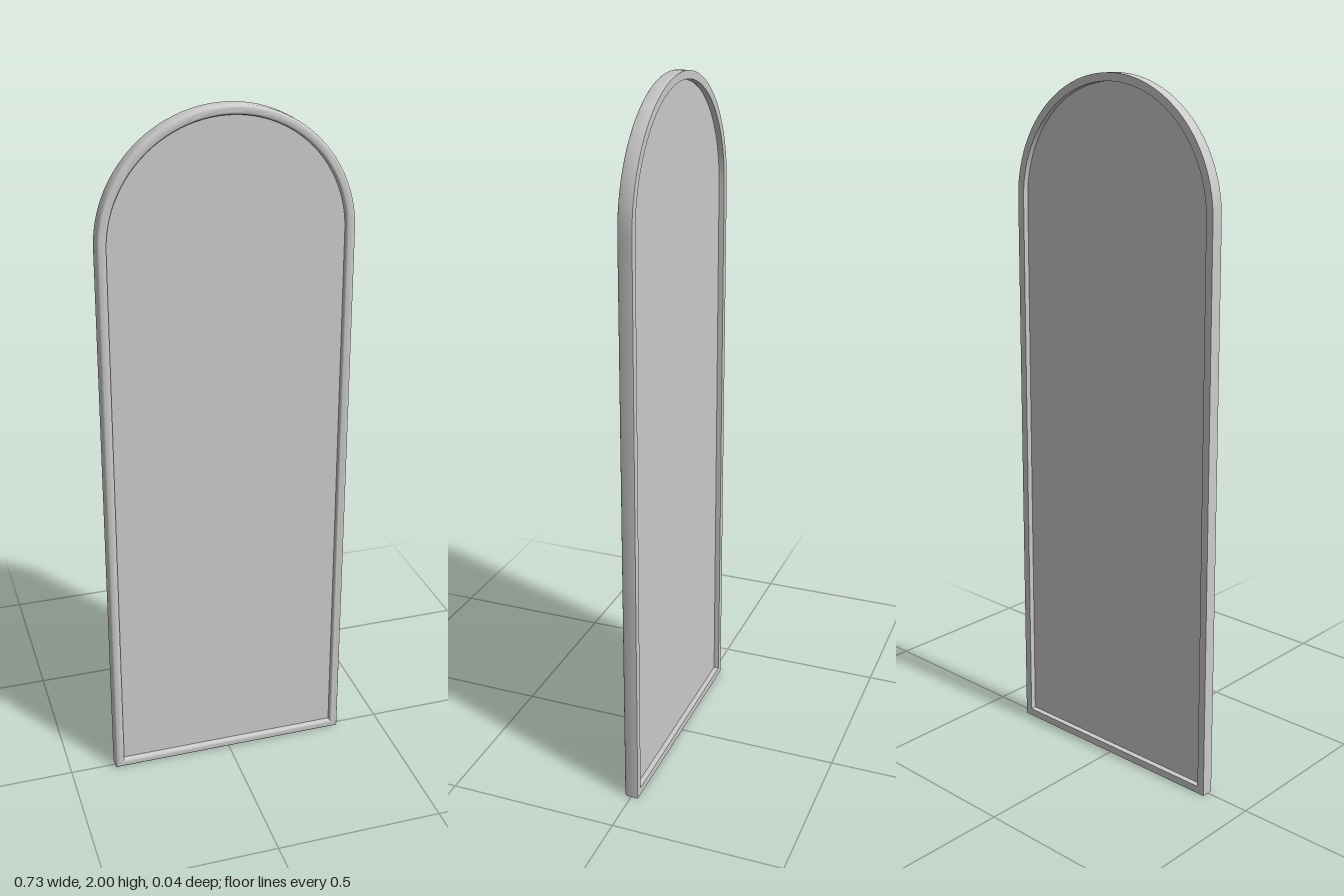
import * as THREE from 'three';
import { toCreasedNormals } from 'three/addons/utils/BufferGeometryUtils.js';

const HALF_BASE = 0.364, HALF_SPRING = 0.355, SPRING = 1.645, HALF_DEPTH = 0.021;

// Arched outline, anticlockwise from the lower right corner; sides taper slightly
function archOutline(segments = 48) {
  const pts = [new THREE.Vector2(HALF_BASE, 0)];
  for (let i = 0; i <= segments; i++) {
    const a = Math.PI * i / segments;
    pts.push(new THREE.Vector2(HALF_SPRING * Math.cos(a), SPRING + (2 - SPRING) * Math.sin(a)));
  }
  pts.push(new THREE.Vector2(-HALF_BASE, 0));
  return pts;
}

// Moves a closed outline inwards with mitred corners
function inset(pts, d) {
  const n = pts.length;
  const inward = (a, b) => {
    const t = b.clone().sub(a).normalize();
    return new THREE.Vector2(-t.y, t.x);
  };
  return pts.map((p, i) => {
    const n1 = inward(pts[(i + n - 1) % n], p);
    const n2 = inward(p, pts[(i + 1) % n]);
    return n1.clone().add(n2).multiplyScalar(d / (1 + n1.dot(n2))).add(p);
  });
}

// Frame section as [inset, z]: flat back, rounded front, rebate behind the panel
function frameSection() {
  const section = [[0, -HALF_DEPTH]];
  const round = (cx, r, from, to) => {
    for (let i = 0; i <= 5; i++) {
      const a = from + (to - from) * i / 5;
      section.push([cx + r * Math.cos(a), HALF_DEPTH - r + r * Math.sin(a)]);
    }
  };
  round(0.01, 0.01, Math.PI, Math.PI / 2);
  round(0.018, 0.009, Math.PI / 2, 0);
  section.push([0.027, -0.004], [0.022, -0.004], [0.022, -HALF_DEPTH]);
  return section;
}

// Sweeps the section around the outline
function sweepFrame(outline, section) {
  const n = outline.length, m = section.length;
  const rings = section.map(([d]) => inset(outline, d));
  const positions = [], indices = [];
  for (let i = 0; i < n; i++) {
    for (let k = 0; k < m; k++) {
      positions.push(rings[k][i].x, rings[k][i].y, section[k][1]);
      const j = (i + 1) % n, l = (k + 1) % m;
      const a = i * m + k, b = j * m + k, c = j * m + l, d = i * m + l;
      indices.push(a, b, c, a, c, d);
    }
  }
  const geometry = new THREE.BufferGeometry();
  geometry.setAttribute('position', new THREE.Float32BufferAttribute(positions, 3));
  geometry.setIndex(indices);
  return toCreasedNormals(geometry, Math.PI / 5);
}

export function createModel() {
  const group = new THREE.Group();
  group.name = 'archedPanel';
  const material = new THREE.MeshStandardMaterial({ color: 0xcccccc });
  const outline = archOutline();

  // Moulded frame
  const frame = new THREE.Mesh(sweepFrame(outline, frameSection()), material);
  frame.name = 'frame';
  group.add(frame);

  // Flat panel held inside the frame
  const shape = new THREE.Shape(inset(outline, 0.0235));
  const panelGeometry = new THREE.ExtrudeGeometry(shape, { depth: 0.013, bevelEnabled: false });
  panelGeometry.translate(0, 0, -0.006);
  const panel = new THREE.Mesh(panelGeometry, material);
  panel.name = 'panel';
  group.add(panel);

  return group;
}
